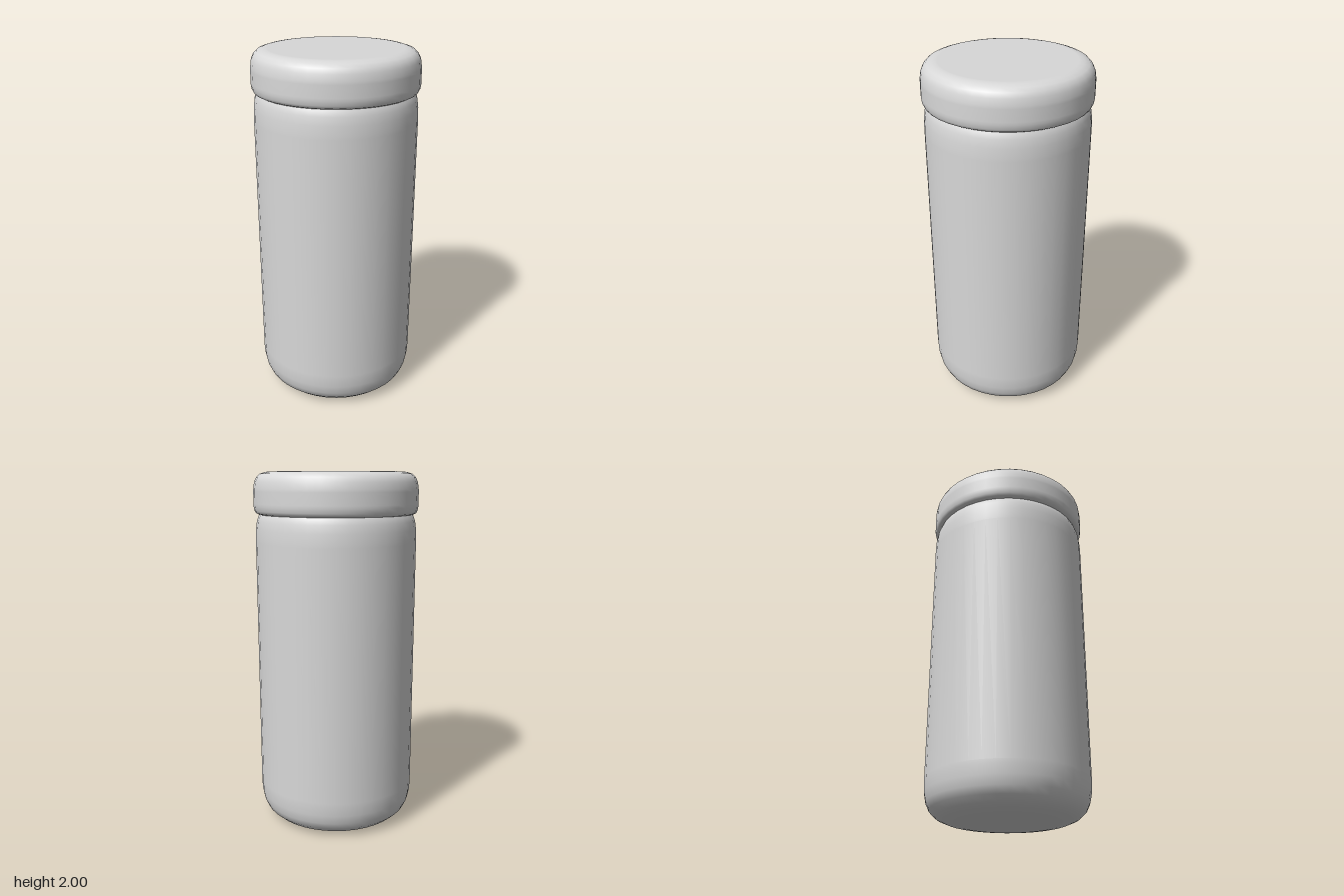
import * as THREE from 'three';

const SEGMENTS = 40;

// Revolves a bottom-to-top list of [radius, height] pairs
function turned(name, profile, material) {
  const points = profile.map(([r, y]) => new THREE.Vector2(r, y));
  const mesh = new THREE.Mesh(new THREE.LatheGeometry(points, SEGMENTS), material);
  mesh.name = name;
  return mesh;
}

export function createModel() {
  const model = new THREE.Group();
  model.name = 'jar';

  const grey = new THREE.MeshStandardMaterial({ color: 0xd8d8d8 });
  grey.name = 'light grey';

  // Body: flat base, wide rounded bottom edge, straight wall, soft shoulder
  model.add(turned('body', [
    [0, 0], [0.29, 0], [0.3, 0.001], [0.345, 0.008], [0.385, 0.025],
    [0.418, 0.055], [0.437, 0.095], [0.447, 0.145], [0.45, 0.2], [0.45, 0.22],
    [0.45, 1.62], [0.45, 1.64], [0.448, 1.69], [0.442, 1.735],
    [0.433, 1.76], [0.425, 1.775],
  ], grey));

  // Lid: small rounded lower lip, straight rim, rounded flat top
  model.add(turned('lid', [
    [0, 1.77], [0.42, 1.77], [0.432, 1.771], [0.446, 1.778], [0.454, 1.792],
    [0.458, 1.815], [0.458, 1.83], [0.458, 1.895], [0.457, 1.91],
    [0.452, 1.945], [0.44, 1.97], [0.422, 1.988], [0.395, 1.997],
    [0.375, 2], [0.365, 2], [0, 2],
  ], grey));

  return model;
}
